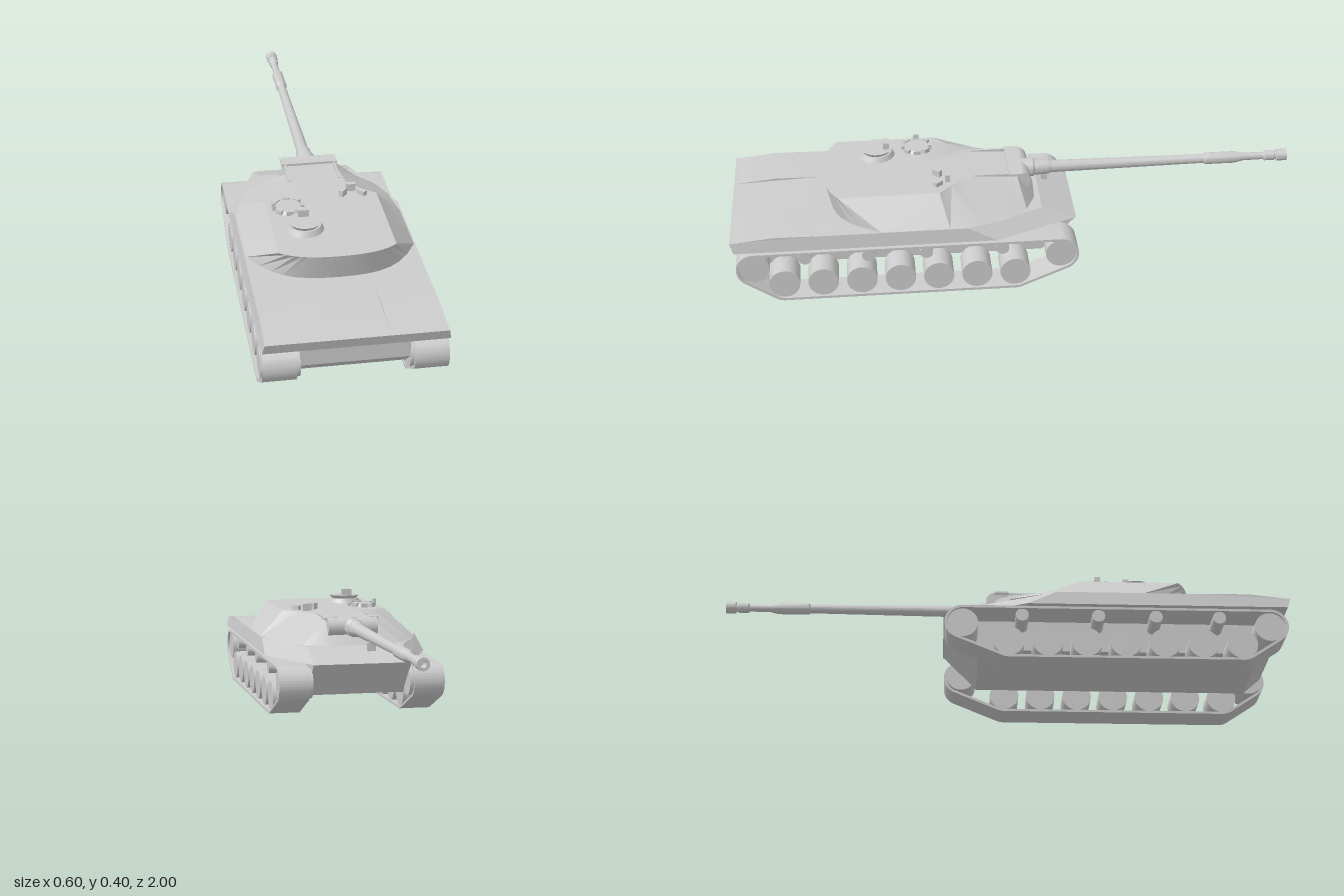
import * as THREE from 'three';
import { toCreasedNormals } from 'three/addons/utils/BufferGeometryUtils.js';

const grey = new THREE.MeshStandardMaterial({ color: 0xcccccc, side: THREE.DoubleSide });

function add(parent, name, geometry, x = 0, y = 0, z = 0) {
  const mesh = new THREE.Mesh(geometry, grey);
  mesh.name = name;
  mesh.position.set(x, y, z);
  parent.add(mesh);
  return mesh;
}

// Side profile given as (z, y), extruded from x0 to x1
function extrudeX(shape, x0, x1) {
  const g = new THREE.ExtrudeGeometry(shape, { depth: x1 - x0, bevelEnabled: false, curveSegments: 16 });
  return toCreasedNormals(g.rotateY(-Math.PI / 2).translate(x1, 0, 0), 0.5);
}
const polygon = pts => new THREE.Shape(pts.map(p => new THREE.Vector2(...p)));

// Wheel-like cylinder lying along x
const axle = (r, width, sides = 28) => new THREE.CylinderGeometry(r, r, width, sides).rotateZ(Math.PI / 2);

// Completes a half outline (rear centre to front on +x) with its mirror image
function mirrorRing(half) {
  const other = half.filter(p => p[0] > 0).reverse().map(([x, y, z]) => [-x, y, z]);
  return [...half, ...other];
}

// Closed solid between a lower and an upper ring, with fan caps
function loft(lower, upper, lowerCentre, upperCentre, crease) {
  const v = [];
  const n = lower.length;
  for (let i = 0; i < n; i++) {
    const j = (i + 1) % n;
    v.push(...lower[i], ...lower[j], ...upper[j], ...lower[i], ...upper[j], ...upper[i]);
    v.push(...upperCentre, ...upper[i], ...upper[j]);
    v.push(...lowerCentre, ...lower[j], ...lower[i]);
  }
  const g = new THREE.BufferGeometry();
  g.setAttribute('position', new THREE.Float32BufferAttribute(v, 3));
  g.computeVertexNormals();
  return toCreasedNormals(g, crease);
}

// Belt outline wrapped round the end wheels, at a given radius
const REAR = [0.92, 0.13], FRONT = [-0.145, 0.13], ROAD_REAR = [0.82, 0.063], ROAD_FRONT = [0.015, 0.063];
function belt(r, Type) {
  const a = Math.atan2(REAR[1] - ROAD_REAR[1], REAR[0] - ROAD_REAR[0]) - Math.PI / 2;
  const b = Math.atan2(FRONT[1] - ROAD_FRONT[1], FRONT[0] - ROAD_FRONT[0]) + Math.PI / 2;
  const s = new Type();
  s.absarc(...REAR, r, Math.PI / 2, a, true);
  s.absarc(...ROAD_REAR, r, a, -Math.PI / 2, true);
  s.absarc(...ROAD_FRONT, r, -Math.PI / 2, b, true);
  s.absarc(...FRONT, r, b, Math.PI / 2, true);
  s.closePath();
  return s;
}

function runningGear(side) {
  const g = new THREE.Group();
  g.name = 'runningGear';
  const shape = belt(0.063, THREE.Shape);
  shape.holes.push(belt(0.054, THREE.Path));
  const [x0, x1] = side > 0 ? [0.187, 0.298] : [-0.298, -0.187];
  add(g, 'track', extrudeX(shape, x0, x1));
  const x = side * 0.24;
  for (let i = 0; i < 7; i++) {
    add(g, 'roadWheel', axle(0.053, 0.1), x, 0.063, THREE.MathUtils.lerp(ROAD_REAR[0], ROAD_FRONT[0], i / 6));
  }
  for (const [z, y] of [REAR, FRONT]) add(g, 'endWheel', axle(0.053, 0.115), side * 0.232, y, z);
  for (const z of [0.745, 0.525, 0.325, 0.06]) add(g, 'returnRoller', axle(0.023, 0.1, 18), x, 0.163, z);
  return g;
}

function hull() {
  const g = new THREE.Group();
  g.name = 'hull';
  add(g, 'lowerHull', extrudeX(polygon([
    [0.965, 0.203], [0.965, 0.135], [0.9, 0.078], [-0.09, 0.078], [-0.208, 0.203]]), -0.176, 0.176));
  // Upper hull tapers to the bow and has sloped sides
  const lower = mirrorRing([[0.298, 0.203, 0.985], [0.298, 0.203, 0.69], [0.298, 0.203, 0.08], [0.175, 0.203, -0.212]]);
  const upper = mirrorRing([[0.291, 0.24, 0.997], [0.29, 0.253, 0.69], [0.29, 0.253, 0.18], [0.175, 0.25, -0.09]]);
  add(g, 'upperHull', loft(lower, upper, [0, 0.203, 0.3], [0, 0.253, 0.69], 0.05));
  // Raised panels beside the engine deck
  const panel = polygon([[0.69, 0.22], [0.69, 0.253], [0.85, 0.255], [0.99, 0.24], [0.98, 0.22]]);
  for (const x of [-0.29, 0.105]) add(g, 'deckPanel', extrudeX(panel, x, x + 0.185));
  add(g, 'bowLamp', new THREE.BoxGeometry(0.03, 0.03, 0.022), -0.05, 0.25, -0.12);
  return g;
}

function turret() {
  const g = new THREE.Group();
  g.name = 'turret';
  // Curved overhanging back, straight sloped sides, rounded nose
  const back = x => 0.672 - 0.63 * x * x - 18 * x ** 4;
  const lowHalf = [], highHalf = [];
  for (let i = 0; i <= 8; i++) {
    const xl = 0.288 * i / 8, xh = 0.195 * i / 8;
    lowHalf.push([xl, 0.25, back(xl) - 0.02]);
    highHalf.push([xh, 0.343, back(xh)]);
  }
  lowHalf.push([0.288, 0.25, 0.24], [0.27, 0.25, 0.12], [0.235, 0.25, 0.03], [0.18, 0.25, -0.035], [0.1, 0.25, -0.07], [0, 0.25, -0.075]);
  highHalf.push([0.195, 0.343, 0.27], [0.145, 0.343, 0.225], [0.105, 0.342, 0.17], [0.095, 0.338, 0.08], [0.088, 0.333, -0.01], [0, 0.335, -0.01]);
  add(g, 'turretShell', loft(mirrorRing(lowHalf), mirrorRing(highHalf), [0, 0.25, 0.3], [0, 0.348, 0.35], 0.45));

  // Mantlet with its rain hood
  add(g, 'mantlet', axle(0.034, 0.18), 0, 0.312, -0.025);
  add(g, 'mantletHood', new THREE.BoxGeometry(0.2, 0.008, 0.05), 0, 0.342, -0.005);
  for (const x of [-0.088, 0.088]) add(g, 'roofRib', new THREE.BoxGeometry(0.008, 0.012, 0.15), x, 0.338, 0.065);

  // Gun barrel with stepped root, fume extractor and muzzle brake
  const profile = [
    [0, 0], [0.033, 0], [0.033, 0.045], [0.028, 0.05], [0.026, 0.1], [0.022, 0.11], [0.016, 0.66],
    [0.016, 0.665], [0.021, 0.67], [0.021, 0.78], [0.014, 0.81], [0.013, 0.885], [0.018, 0.89],
    [0.018, 0.925], [0.015, 0.927], [0.015, 0.932], [0.021, 0.935], [0.021, 0.97], [0.011, 0.97], [0.011, 0.93], [0, 0.93]
  ].map(p => new THREE.Vector2(...p));
  add(g, 'gunBarrel', toCreasedNormals(new THREE.LatheGeometry(profile, 24).rotateX(-Math.PI / 2), 0.4), 0, 0.313, -0.03);

  // Commander's cupola
  const cupola = new THREE.Group();
  cupola.name = 'cupola';
  cupola.position.set(-0.087, 0, 0.48);
  add(cupola, 'cupolaBase', new THREE.CylinderGeometry(0.055, 0.067, 0.022, 32), 0, 0.352, 0);
  add(cupola, 'cupolaLid', new THREE.CylinderGeometry(0.057, 0.047, 0.013, 32), 0, 0.369, 0);
  add(cupola, 'cupolaSight', new THREE.BoxGeometry(0.036, 0.028, 0.022), 0, 0.386, -0.035);
  g.add(cupola);

  // Loader's hatch ringed with periscopes
  const hatch = new THREE.Group();
  hatch.name = 'loaderHatch';
  hatch.position.set(-0.122, 0, 0.335);
  add(hatch, 'hatchLid', new THREE.CylinderGeometry(0.042, 0.053, 0.014, 32), 0, 0.349, 0);
  for (let i = 0; i < 8; i++) {
    const a = i * Math.PI / 4;
    const block = add(hatch, 'periscope', new THREE.BoxGeometry(0.024, 0.016, 0.012), Math.sin(a) * 0.048, 0.352, Math.cos(a) * 0.048);
    block.rotation.y = a;
  }
  add(hatch, 'hatchSight', new THREE.BoxGeometry(0.01, 0.026, 0.02), -0.05, 0.359, 0);
  g.add(hatch);

  // Three radiating roof periscopes
  for (const [x, z, h, turn] of [[0.11, 0.237, 0.03, 0], [0.077, 0.272, 0.028, 0.9], [0.143, 0.272, 0.02, -0.9]]) {
    add(g, 'roofPeriscope', new THREE.BoxGeometry(0.032, h, 0.017), x, 0.34 + h / 2, z).rotation.y = turn;
  }
  return g;
}

export function createModel() {
  const model = new THREE.Group();
  model.name = 'tank';
  model.add(hull(), turret(), runningGear(1), runningGear(-1));
  return model;
}
